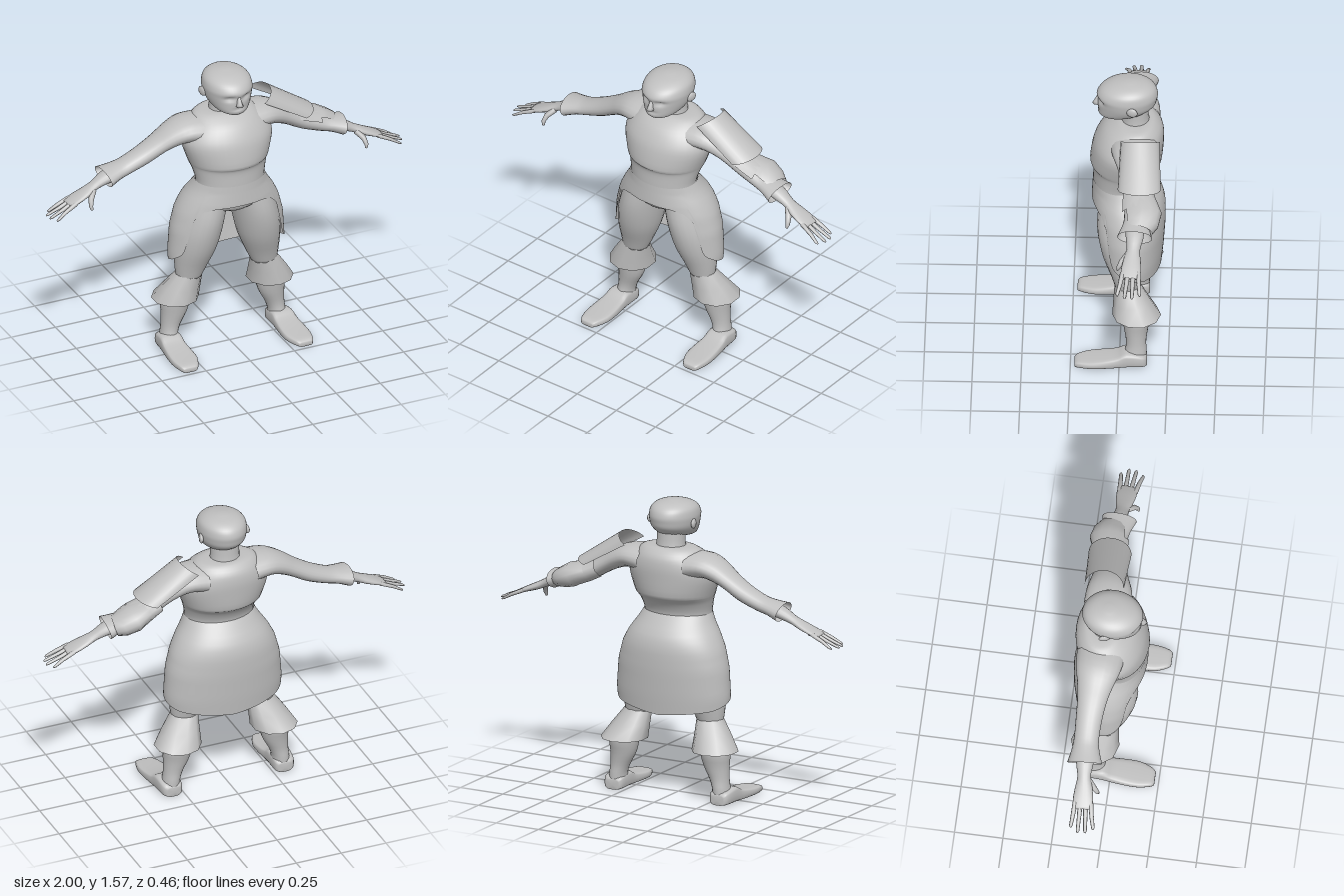
import * as THREE from 'three';

const grey = new THREE.MeshStandardMaterial({ color: 0xc0c0c0, side: THREE.DoubleSide });
grey.name = 'plain grey';

// Refine a list of number rows with a Catmull-Rom curve
function smooth(rows, steps = 3) {
  const out = [];
  const at = i => rows[Math.max(0, Math.min(rows.length - 1, i))];
  for (let i = 0; i < rows.length - 1; i++) {
    for (let s = 0; s < steps; s++) {
      const t = s / steps;
      out.push(rows[i].map((b, k) => {
        const a = at(i - 1)[k], c = at(i + 1)[k], d = at(i + 2)[k];
        return b + 0.5 * t * (c - a + t * (2 * a - 5 * b + 4 * c - d + t * (3 * (b - c) + d - a)));
      }));
    }
  }
  out.push(rows[rows.length - 1]);
  return out;
}

// Surface from rings of points; closed rings share a seam, capped ends get a fan
function skin(rings, closed = true, caps = true) {
  const n = rings[0].length, pos = [], idx = [];
  rings.forEach(r => r.forEach(p => pos.push(p.x, p.y, p.z)));
  for (let r = 0; r < rings.length - 1; r++) {
    for (let j = 0; j < (closed ? n : n - 1); j++) {
      const a = r * n + j, b = r * n + (j + 1) % n;
      idx.push(a, b, b + n, a, b + n, a + n);
    }
  }
  if (closed && caps) {
    [0, rings.length - 1].forEach(r => {
      const mid = new THREE.Vector3();
      rings[r].forEach(p => mid.addScaledVector(p, 1 / n));
      const c = pos.length / 3;
      pos.push(mid.x, mid.y, mid.z);
      for (let j = 0; j < n; j++) {
        const a = r * n + j, b = r * n + (j + 1) % n;
        if (r === 0) idx.push(c, b, a); else idx.push(c, a, b);
      }
    });
  }
  const g = new THREE.BufferGeometry();
  g.setAttribute('position', new THREE.Float32BufferAttribute(pos, 3));
  g.setIndex(idx);
  g.computeVertexNormals();
  return g;
}

const ringOf = (n, fn, from = 0, to = Math.PI * 2, open = false) =>
  Array.from({ length: n }, (_, j) => fn(from + (to - from) * j / (open ? n - 1 : n)));

// Upright body part: rows of [y, centre x, half width, front z, back z]
const upright = (rows, n = 28, caps = true) => skin(rows.map(([y, cx, hx, zf, zb]) =>
  ringOf(n, a => new THREE.Vector3(cx + hx * Math.sin(a), y,
    (zf + zb) / 2 + (zf - zb) / 2 * Math.cos(a)))), true, caps);

// Limb along a path: rows of [x, y, z, half depth, half height]
function limb(rows, n = 16, caps = true, from = 0, to = Math.PI * 2, open = false) {
  const P = rows.map(r => new THREE.Vector3(r[0], r[1], r[2]));
  return skin(rows.map((r, i) => {
    const d = P[Math.min(i + 1, P.length - 1)].clone().sub(P[Math.max(i - 1, 0)]).normalize();
    const u = d.clone().cross(new THREE.Vector3(0, 0, 1)).normalize();
    const v = u.clone().cross(d);
    return ringOf(n, a => P[i].clone().addScaledVector(u, r[4] * Math.sin(a))
      .addScaledVector(v, r[3] * Math.cos(a)), from, to, open);
  }), !open, caps);
}

function mirrored(geo) {
  const g = geo.clone().scale(-1, 1, 1), ix = g.index.array;
  for (let i = 0; i < ix.length; i += 3) [ix[i], ix[i + 1]] = [ix[i + 1], ix[i]];
  g.computeVertexNormals();
  return g;
}

export function createModel() {
  const model = new THREE.Group();
  model.name = 'figure';
  const add = (name, geo) => {
    const m = new THREE.Mesh(geo, grey);
    m.name = name;
    model.add(m);
  };
  const pair = (name, geo) => {
    add('left' + name, geo);
    add('right' + name, mirrored(geo));
  };

  // Torso with a ridge under the chest, and neck
  add('torso', upright(smooth([
    [0.84, 0, 0.19, 0.12, -0.16], [0.9, 0, 0.188, 0.137, -0.14], [0.97, 0, 0.185, 0.14, -0.133],
    [1.03, 0, 0.198, 0.14, -0.16], [1.06, 0, 0.208, 0.145, -0.19], [1.085, 0, 0.217, 0.157, -0.21],
    [1.18, 0, 0.245, 0.143, -0.22], [1.24, 0, 0.23, 0.118, -0.222], [1.29, 0, 0.19, 0.08, -0.212],
    [1.325, 0, 0.15, 0.025, -0.18], [1.333, 0, 0.09, 0, -0.155]]), 36));
  add('neck', upright(smooth([[1.29, 0, 0.09, 0.01, -0.16], [1.34, 0, 0.077, -0.005, -0.145],
    [1.42, 0, 0.077, 0.0, -0.14]]), 20));

  // Head with eye sockets and mouth pressed in
  const head = upright(smooth([
    [1.363, 0, 0.04, 0.1, 0.02], [1.375, 0, 0.075, 0.113, -0.06], [1.395, 0, 0.098, 0.118, -0.13],
    [1.43, 0, 0.116, 0.118, -0.175], [1.465, 0, 0.124, 0.12, -0.187], [1.495, 0, 0.125, 0.122, -0.19],
    [1.53, 0, 0.114, 0.095, -0.175], [1.555, 0, 0.078, 0.04, -0.135], [1.567, 0, 0.02, -0.03, -0.07]], 4), 48);
  const hp = head.attributes.position;
  for (let i = 0; i < hp.count; i++) {
    const x = hp.getX(i), y = hp.getY(i), z = hp.getZ(i);
    if (z < 0) continue;
    const dent = (cx, cy, sx, sy) => Math.exp(-(((Math.abs(x) - cx) / sx) ** 2) - ((y - cy) / sy) ** 2);
    hp.setZ(i, z - 0.016 * dent(0.045, 1.463, 0.025, 0.014) - 0.008 * dent(0, 1.403, 0.03, 0.008));
  }
  head.computeVertexNormals();
  add('head', head);
  add('nose', upright([[1.416, 0, 0.012, 0.125, 0.1], [1.424, 0, 0.02, 0.146, 0.1],
    [1.435, 0, 0.015, 0.141, 0.1], [1.475, 0, 0.008, 0.12, 0.1]], 8));
  const ear = new THREE.SphereGeometry(1, 12, 8);
  ear.scale(0.012, 0.026, 0.03).rotateY(-0.25).translate(0.125, 1.453, -0.06);
  pair('Ear', ear);

  // Sleeves, forearms and hands
  pair('Sleeve', limb(smooth([
    [0.14, 1.245, -0.075, 0.125, 0.07], [0.22, 1.25, -0.08, 0.115, 0.063], [0.29, 1.228, -0.085, 0.095, 0.055],
    [0.36, 1.19, -0.09, 0.078, 0.046], [0.45, 1.138, -0.095, 0.068, 0.045], [0.55, 1.097, -0.095, 0.064, 0.041],
    [0.61, 1.082, -0.092, 0.072, 0.041], [0.672, 1.065, -0.088, 0.09, 0.05]]), 20, false));
  pair('Forearm', limb(smooth([[0.55, 1.097, -0.09, 0.05, 0.035], [0.66, 1.062, -0.088, 0.046, 0.032],
    [0.73, 1.03, -0.083, 0.034, 0.022], [0.78, 1.006, -0.078, 0.044, 0.02],
    [0.84, 0.982, -0.074, 0.052, 0.015], [0.885, 0.963, -0.07, 0.047, 0.01]])));
  for (let i = 0; i < 4; i++) {
    const z = -0.112 + i * 0.027, tip = -0.12 + i * 0.038, reach = [0.975, 1, 0.997, 0.975][i];
    pair('Finger' + (i + 1), limb([[0.855, 0.976, z, 0.013, 0.011], [0.92, 0.947, (z + tip) / 2, 0.011, 0.009],
      [reach - 0.01, 0.921, tip, 0.009, 0.006], [reach, 0.916, tip, 0.004, 0.003]], 8));
  }
  pair('Thumb', limb([[0.745, 1.015, -0.06, 0.02, 0.016], [0.772, 0.985, -0.025, 0.015, 0.014],
    [0.78, 0.955, -0.008, 0.011, 0.011], [0.776, 0.936, -0.003, 0.006, 0.007]], 8));

  // Curved shoulder plate on the left arm
  const ridge = [[0.27, 1.375], [0.51, 1.213]], rim = [[0.2, 1.328], [0.435, 1.193]];
  add('shoulderPlate', skin([0, 0.5, 1].map(t => ringOf(13, a => {
    const mix = k => {
      const r = THREE.MathUtils.lerp(ridge[0][k], ridge[1][k], t);
      const e = THREE.MathUtils.lerp(rim[0][k], rim[1][k], t);
      return e + (r - e) * Math.cos(a);
    };
    return new THREE.Vector3(mix(0), mix(1), -0.105 + (0.1 + 0.01 * t) * Math.sin(a));
  }, Math.PI / 2, -Math.PI / 2, true)), false));

  // Elbow guards wrapping the top and back of the left arm
  add('upperElbowGuard', limb([[0.4, 1.165, -0.1, 0.082, 0.052], [0.46, 1.138, -0.105, 0.088, 0.056],
    [0.52, 1.118, -0.115, 0.1, 0.06]], 9, false, Math.PI * 0.6, Math.PI * 1.9, true));
  add('elbowCap', limb([[0.47, 1.14, -0.11, 0.085, 0.05], [0.54, 1.112, -0.125, 0.1, 0.065],
    [0.59, 1.092, -0.12, 0.09, 0.058], [0.63, 1.078, -0.11, 0.07, 0.048]],
    9, false, Math.PI * 0.6, Math.PI * 1.8, true));

  // Long coat skirt, open at the front: rows of [y, half width, front z, back z]
  const flare = [[0.97, 0.187, 0.142, -0.136], [0.93, 0.205, 0.144, -0.168], [0.865, 0.25, 0.148, -0.215],
    [0.8, 0.283, 0.148, -0.23], [0.7, 0.31, 0.142, -0.23], [0.55, 0.322, 0.13, -0.22], [0.45, 0.312, 0.12, -0.21]];
  const hem = [[0, 0.855], [30, 0.85], [46, 0.83], [54, 0.78], [58, 0.62], [64, 0.57], [80, 0.535],
    [120, 0.49], [180, 0.455]];
  const lookup = (table, v, sign) => {
    let i = 0;
    while (i < table.length - 2 && sign * table[i + 1][0] < sign * v) i++;
    const [a, b] = [table[i], table[i + 1]], t = (v - a[0]) / (b[0] - a[0]);
    return a.map((q, k) => q + (b[k] - q) * t);
  };
  const skirtRings = [];
  for (let r = 0; r <= 16; r++) {
    skirtRings.push(ringOf(120, a => {
      const deg = Math.abs(THREE.MathUtils.radToDeg(a > Math.PI ? a - Math.PI * 2 : a));
      const y = THREE.MathUtils.lerp(lookup(hem, deg, 1)[1], 0.97, r / 16);
      const [, hx, zf, zb] = lookup(flare, y, -1);
      return new THREE.Vector3(hx * Math.sin(a), y, (zf + zb) / 2 + (zf - zb) / 2 * Math.cos(a));
    }));
  }
  add('coatSkirt', skin(skirtRings, true, false));

  // Hips, thighs, flared trouser ends and shins
  add('hips', upright(smooth([[0.795, 0, 0.06, 0.08, -0.12], [0.82, 0, 0.17, 0.115, -0.17],
    [0.87, 0, 0.21, 0.125, -0.17], [0.93, 0, 0.18, 0.12, -0.13]])));
  pair('Thigh', upright(smooth([
    [0.41, 0.213, 0.068, 0.022, -0.1], [0.48, 0.2, 0.088, 0.045, -0.12], [0.58, 0.18, 0.11, 0.085, -0.15],
    [0.68, 0.163, 0.118, 0.11, -0.17], [0.77, 0.143, 0.115, 0.118, -0.18], [0.86, 0.12, 0.11, 0.11, -0.165]]), 24));
  pair('TrouserFlare', upright([[0.275, 0.268, 0.123, 0.037, -0.213], [0.35, 0.243, 0.1, 0.032, -0.158],
    [0.43, 0.212, 0.073, 0.026, -0.103]], 10, false));
  pair('Shin', upright(smooth([
    [0.03, 0.308, 0.05, -0.01, -0.14], [0.08, 0.304, 0.046, -0.03, -0.14], [0.13, 0.293, 0.052, -0.034, -0.138],
    [0.2, 0.275, 0.07, -0.022, -0.148], [0.28, 0.268, 0.081, -0.01, -0.162], [0.36, 0.25, 0.07, -0.005, -0.13]]), 20));

  // Feet: rows of [z, centre x, half width, height]
  const foot = smooth([[-0.142, 0.31, 0.035, 0.05], [-0.12, 0.312, 0.055, 0.07], [-0.04, 0.315, 0.06, 0.085],
    [0.01, 0.317, 0.063, 0.062], [0.08, 0.318, 0.069, 0.048], [0.15, 0.32, 0.068, 0.04],
    [0.21, 0.325, 0.05, 0.034], [0.229, 0.327, 0.035, 0.022]]);
  const square = v => Math.sign(v) * Math.sqrt(Math.abs(v));
  pair('Foot', skin(foot.map(([z, cx, hx, h]) => ringOf(20, a =>
    new THREE.Vector3(cx - hx * square(Math.sin(a)), h / 2 * (1 + square(Math.cos(a))), z)))));

  return model;
}
